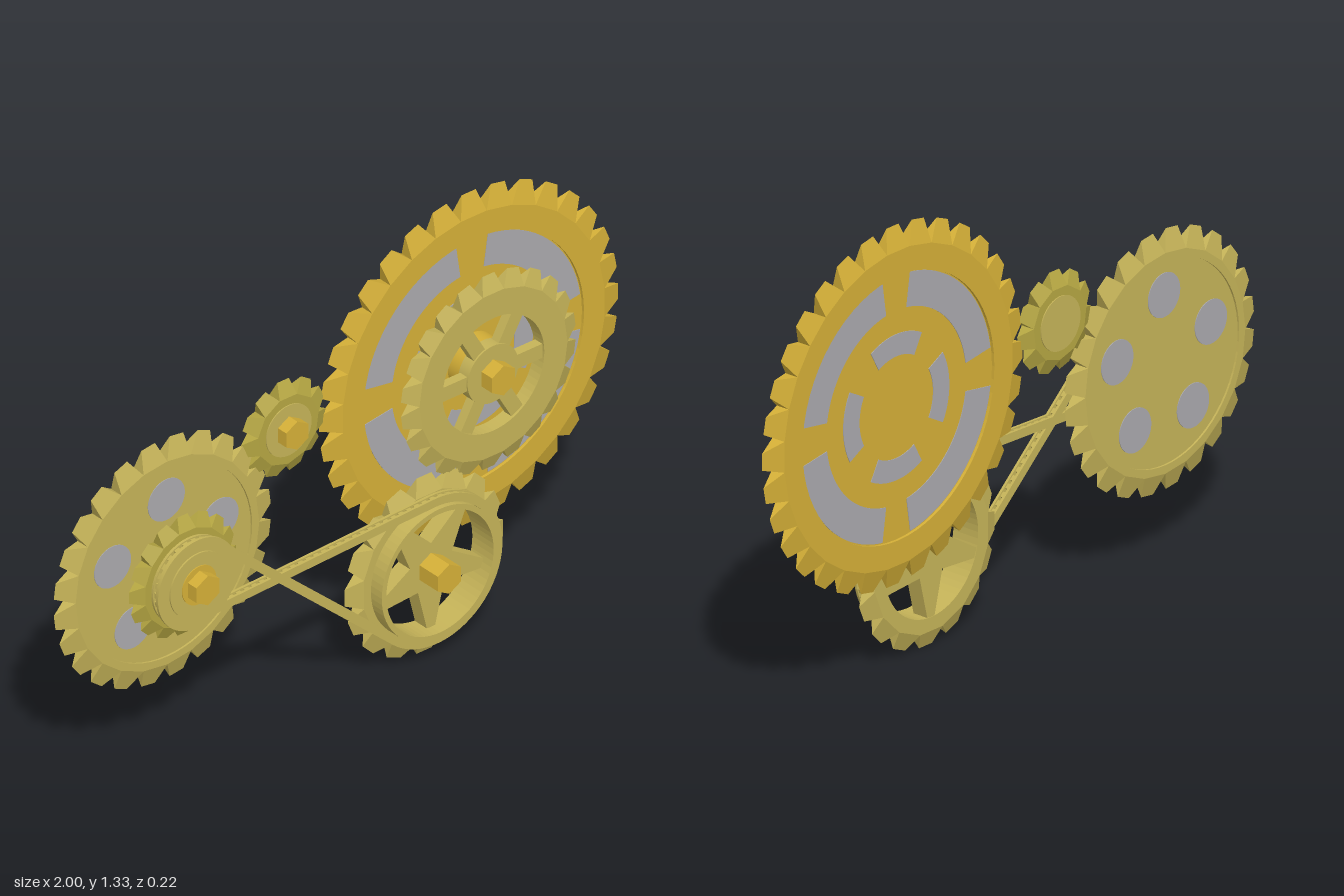
import * as THREE from 'three';

const mat = (name, color) => {
  const m = new THREE.MeshStandardMaterial({ color });
  m.name = name;
  return m;
};

export function createModel() {
  const gold = mat('gold', 0xd4af37);
  const pale = mat('pale brass', 0xc5b358);
  const brass = mat('brass', 0xb5a642);
  const grey = mat('grey metal', 0xaaa9ad);
  const model = new THREE.Group();
  model.name = 'gearTrain';
  const BACK = -0.0875, HALF = 0.022, TAU = Math.PI * 2;

  const add = (parent, name, geo, material) => {
    const mesh = new THREE.Mesh(geo, material);
    mesh.name = name;
    parent.add(mesh);
    return mesh;
  };
  const polar = (r, a, z = 0) => new THREE.Vector3(r * Math.cos(a), r * Math.sin(a), z);
  const slab = (shape, z0, z1) =>
    new THREE.ExtrudeGeometry(shape, { depth: z1 - z0, bevelEnabled: false, curveSegments: 32 }).translate(0, 0, z0);
  const disc = (r, z0, z1, sides = 48) => {
    let g = new THREE.CylinderGeometry(r, r, z1 - z0, sides).rotateX(Math.PI / 2).translate(0, 0, (z0 + z1) / 2);
    if (sides < 10) { g = g.toNonIndexed(); g.computeVertexNormals(); }
    return g;
  };
  const circle = (r, x = 0, y = 0) => new THREE.Shape().absarc(x, y, r, 0, TAU, false);
  const ring = (r1, r0) => {
    const s = circle(r1);
    s.holes.push(circle(r0));
    return s;
  };
  const sector = (r0, r1, a0, a1) => {
    const s = new THREE.Shape();
    s.absarc(0, 0, r1, a0, a1, false);
    s.absarc(0, 0, r0, a1, a0, true);
    s.closePath();
    return s;
  };
  const fromTriangles = (pts) => {
    const g = new THREE.BufferGeometry().setFromPoints(pts);
    g.computeVertexNormals();
    return g;
  };

  // A toothed rim: polygonal ring plus teeth that narrow to an edge at mid thickness
  function gear(name, x, y, z, tip, root, inner, count, phase, material) {
    const group = new THREE.Group();
    group.name = name;
    group.position.set(x, y, z);
    model.add(group);
    const pitch = TAU / count, outline = [], tris = [];
    for (let i = 0; i < count; i++) {
      const a = phase + i * pitch, a0 = a - pitch / 2, a1 = a + pitch / 2;
      const p = polar(root, a0);
      outline.push(new THREE.Vector2(p.x, p.y));
      const f0 = polar(root, a0, HALF), f1 = polar(root, a1, HALF);
      const b0 = polar(root, a0, -HALF), b1 = polar(root, a1, -HALF);
      const t0 = polar(tip, a - pitch * 0.24), t1 = polar(tip, a + pitch * 0.24);
      tris.push(f0, t0, t1, f0, t1, f1, b0, t1, t0, b0, b1, t1, f0, b0, t0, f1, t1, b1);
    }
    const shape = new THREE.Shape(outline);
    if (inner) shape.holes.push(circle(inner));
    add(group, 'rim', slab(shape, -HALF, HALF), material);
    add(group, 'teeth', fromTriangles(tris), material);
    return group;
  }

  // Large gear with grey windows on a recessed web
  const big = gear('largeGear', 0.467, 0.81, BACK, 0.53, 0.465, 0.39, 32, Math.PI / 2, gold);
  add(big, 'web', disc(0.394, -0.013, 0.013), gold);
  for (let i = 0; i < 4; i++) {
    const a = i * Math.PI / 2;
    add(big, 'outerWindow', slab(sector(0.285, 0.386, a + 0.147, a + Math.PI / 2 - 0.147), -0.015, 0.015), grey);
    add(big, 'innerWindow', slab(sector(0.15, 0.215, a - 0.5, a + 0.5), -0.015, 0.015), grey);
  }
  add(big, 'hub', disc(0.085, 0.01, 0.07), gold);

  // Spoked gear in front of the large gear
  const spoked = gear('spokedGear', 0.463, 0.81, 0, 0.31, 0.262, 0.18, 22, Math.PI / 2, pale);
  add(spoked, 'hub', disc(0.09, -0.02, 0.02), pale);
  for (let i = 0; i < 6; i++) {
    const spoke = add(spoked, 'spoke', new THREE.BoxGeometry(0.13, 0.045, 0.03), pale);
    spoke.position.copy(polar(0.125, i * Math.PI / 3));
    spoke.rotation.z = i * Math.PI / 3;
  }
  add(spoked, 'nut', disc(0.047, 0.01, 0.065, 6), gold);

  // Left gear with five round windows
  const left = gear('leftGear', -0.618, 0.6, BACK, 0.385, 0.325, 0.3, 24, Math.PI / 2 + Math.PI / 24, pale);
  add(left, 'web', disc(0.304, -0.016, 0.016), pale);
  for (let i = 0; i < 5; i++) {
    const p = polar(0.2, Math.PI / 2 + i * TAU / 5);
    add(left, 'roundWindow', slab(circle(0.065, p.x, p.y), -0.018, 0.018), grey);
  }
  add(left, 'hub', disc(0.085, 0.01, 0.07), gold);

  // Left pinion carrying the small pulley
  const pinion = gear('pinion', -0.62, 0.595, 0, 0.19, 0.152, 0, 16, Math.PI / 2, brass);
  add(pinion, 'pulleyCore', disc(0.108, 0.02, 0.06), pale);
  add(pinion, 'pulleyFlange', disc(0.14, 0.056, 0.064), pale);
  add(pinion, 'pulleyFace', disc(0.1, 0.06, 0.069), pale);
  add(pinion, 'hubCap', disc(0.06, 0.06, 0.072), gold);
  add(pinion, 'nut', disc(0.047, 0.06, 0.108, 6), gold);

  // Idler gear
  const idler = gear('idlerGear', -0.19, 0.853, BACK, 0.15, 0.108, 0, 11, Math.PI / 2, brass);
  add(idler, 'face', disc(0.08, -0.025, 0.025), pale);
  add(idler, 'nut', disc(0.045, 0.02, 0.06, 6), gold);

  // Lower gear with star spokes and the large pulley rim
  const lower = gear('starGear', 0.235, 0.287, 0, 0.282, 0.235, 0.19, 16, -Math.PI / 2, pale);
  const star = [];
  for (let i = 0; i < 5; i++) {
    const a = -Math.PI / 2 + i * TAU / 5;
    for (const [r, d] of [[0.195, -0.07], [0.195, 0.07], [0.078, Math.PI / 5]]) {
      const p = polar(r, a + d);
      star.push(new THREE.Vector2(p.x, p.y));
    }
  }
  add(lower, 'starSpokes', slab(new THREE.Shape(star), -0.02, 0.03), pale);
  add(lower, 'pulleyRim', slab(ring(0.206, 0.19), 0.015, 0.068), pale);
  add(lower, 'nut', disc(0.047, 0.02, 0.108, 6), gold);

  // Crossed chain: path around both pulleys along the inner tangents
  const c1 = new THREE.Vector3(-0.62, 0.595, 0), c2 = new THREE.Vector3(0.235, 0.287, 0);
  const r1 = 0.12, r2 = 0.22, span = c2.clone().sub(c1);
  const dir = Math.atan2(span.y, span.x), open = Math.acos((r1 + r2) / span.length());
  const path = [];
  const arc = (c, r, a0, a1) => {
    for (let i = 0; i <= 40; i++) path.push(polar(r, a0 + (a1 - a0) * i / 40).add(c));
  };
  arc(c1, r1, dir + open, dir + TAU - open);
  arc(c2, r2, dir + Math.PI - open, dir - Math.PI + open);
  const chain = new THREE.Group();
  chain.name = 'chain';
  model.add(chain);

  // Sweep a rectangular section along the closed path
  function rail(z0, z1, half) {
    const n = path.length, tris = [];
    const sections = path.map((p, i) => {
      const t = path[(i + 1) % n].clone().sub(path[(i + n - 1) % n]).normalize();
      const side = new THREE.Vector3(-t.y, t.x, 0);
      return [[half, z0], [half, z1], [-half, z1], [-half, z0]].map(([s, z]) =>
        p.clone().addScaledVector(side, s).setZ(z));
    });
    for (let i = 0; i < n; i++) {
      const a = sections[i], b = sections[(i + 1) % n];
      for (let k = 0; k < 4; k++) {
        const m = (k + 1) % 4;
        tris.push(a[k], a[m], b[m], a[k], b[m], b[k]);
      }
    }
    return fromTriangles(tris);
  }
  add(chain, 'backRail', rail(0.027, 0.035, 0.013), pale);
  add(chain, 'frontRail', rail(0.046, 0.054, 0.013), pale);

  // Links between the rails at even spacing
  const linkGeo = new THREE.BoxGeometry(0.016, 0.018, 0.014);
  const loop = new THREE.CurvePath();
  path.forEach((p, i) => loop.add(new THREE.LineCurve3(p, path[(i + 1) % path.length])));
  const links = 110;
  for (let i = 0; i < links; i++) {
    const t = loop.getTangentAt(i / links);
    const link = add(chain, 'link', linkGeo, pale);
    link.position.copy(loop.getPointAt(i / links)).setZ(0.0405);
    link.rotation.z = Math.atan2(t.y, t.x);
  }

  return model;
}
